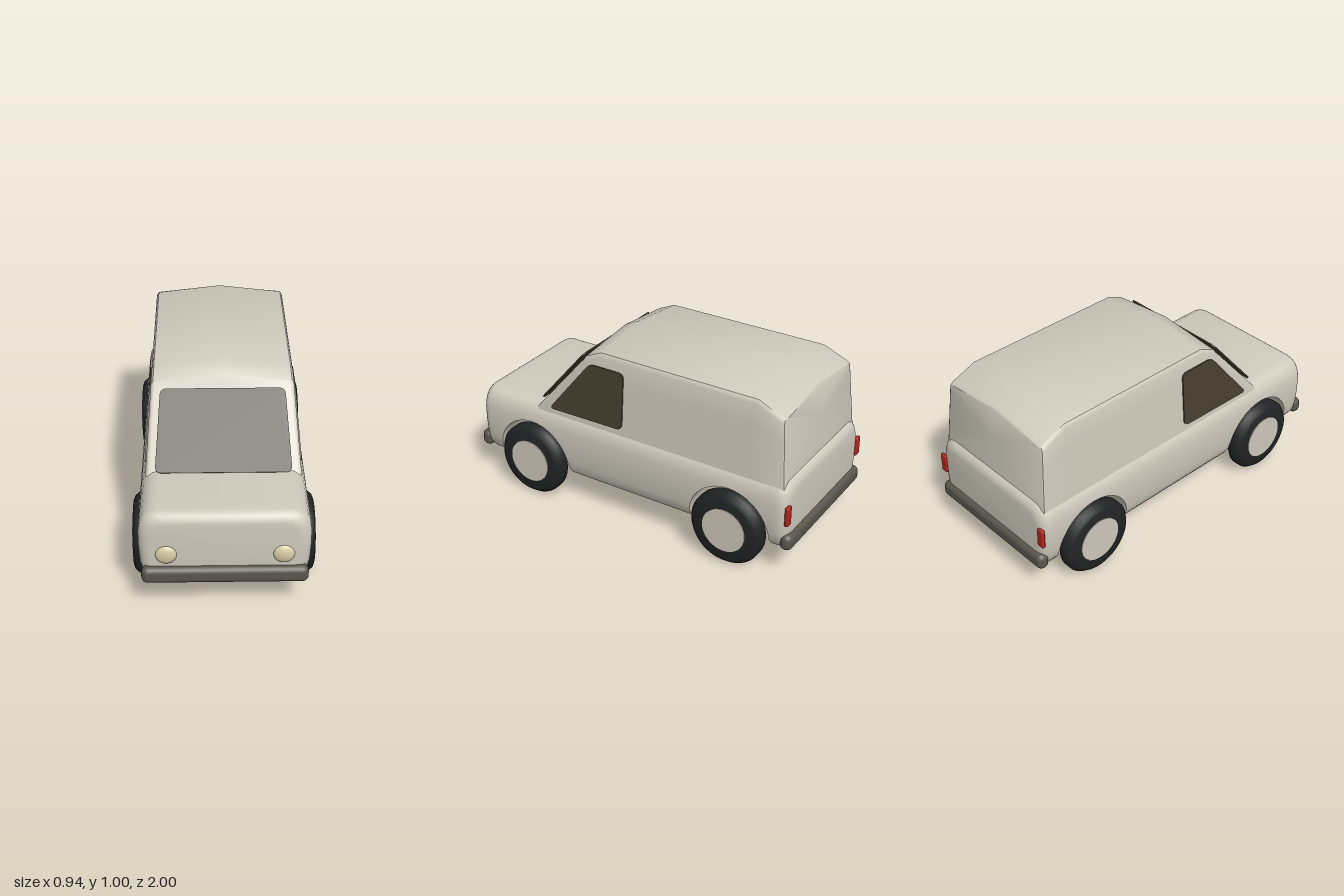
import * as THREE from 'three';
import { toCreasedNormals } from 'three/addons/utils/BufferGeometryUtils.js';
import { RoundedBoxGeometry } from 'three/addons/geometries/RoundedBoxGeometry.js';

const mat = (name, color) => {
  const m = new THREE.MeshStandardMaterial({ color });
  m.name = name;
  return m;
};

// Crease at enlarged scale so that close vertices stay distinct
function crease(geo, angle) {
  geo.scale(100, 100, 100);
  const out = toCreasedNormals(geo.index ? geo.toNonIndexed() : geo, angle);
  return out.scale(0.01, 0.01, 0.01);
}

// Skin half sections [x, y, z] (bottom centre to top centre), mirrored in x, ordered rear to front
function loft(halves, angle) {
  const rings = halves.map(h => [...h, ...h.slice(1, -1).reverse().map(([x, y, z]) => [-x, y, z])]);
  const pos = [], n = rings[0].length;
  const tri = (...p) => p.forEach(v => pos.push(...v));
  for (let i = 0; i < rings.length - 1; i++) {
    for (let j = 0; j < n; j++) {
      const k = (j + 1) % n, a = rings[i], b = rings[i + 1];
      tri(a[j], a[k], b[j]);
      tri(a[k], b[k], b[j]);
    }
  }
  const cap = (ring, front) => {
    const c = [0, 1, 2].map(d => ring.reduce((s, p) => s + p[d], 0) / n);
    ring.forEach((p, j) => {
      const q = ring[(j + 1) % n];
      front ? tri(c, p, q) : tri(c, q, p);
    });
  };
  cap(rings[0], false);
  cap(rings[rings.length - 1], true);
  const geo = new THREE.BufferGeometry();
  geo.setAttribute('position', new THREE.Float32BufferAttribute(pos, 3));
  return crease(geo, angle);
}

// Polygon with rounded corners
function roundedShape(pts, r) {
  const s = new THREE.Shape(), n = pts.length;
  const v = pts.map(p => new THREE.Vector2(...p));
  v.forEach((p, i) => {
    const toward = q => q.clone().sub(p).setLength(r).add(p);
    const a = toward(v[(i + n - 1) % n]), b = toward(v[(i + 1) % n]);
    i ? s.lineTo(a.x, a.y) : s.moveTo(a.x, a.y);
    s.quadraticCurveTo(p.x, p.y, b.x, b.y);
  });
  s.closePath();
  return s;
}

// Lower body: fixed side profile, bottom lifted over the wheel arches
const SIDE = [[0.35, 0.16], [0.385, 0.175], [0.41, 0.21], [0.422, 0.26], [0.428, 0.35], [0.428, 0.44],
  [0.42, 0.485], [0.408, 0.515], [0.39, 0.538], [0.365, 0.553], [0.335, 0.56]];
const FRONT_AXLE = 0.605, REAR_AXLE = -0.645, AXLE_Y = 0.21, ARCH = 0.234;

function widthAt(y) {
  for (let i = 1; i < SIDE.length; i++) {
    const [x0, y0] = SIDE[i - 1], [x1, y1] = SIDE[i];
    if (y <= y1) return x0 + (x1 - x0) * (y - y0) / (y1 - y0);
  }
  return SIDE[SIDE.length - 1][0];
}

function lowerBody() {
  const section = (z, bottom = 0.16, inset = 0) => {
    const squash = 1 - inset / 0.2;
    const pts = SIDE.map(([, y]) => {
      const yy = Math.max(y, bottom);
      return [widthAt(yy) - inset, 0.36 + (yy - 0.36) * squash, z];
    });
    return [[0, pts[0][1], z], ...pts, [0, pts[pts.length - 1][1], z]];
  };
  const list = [], R = 0.06, steps = 6;
  for (let i = steps; i >= 0; i--) {
    const t = i / steps * Math.PI / 2;
    list.push(section(-0.915 - R * Math.sin(t), 0.16, R * (1 - Math.cos(t))));
  }
  for (const axle of [REAR_AXLE, FRONT_AXLE]) {
    list.push(section(axle - ARCH));
    for (let i = 0; i <= 20; i++) {
      const t = Math.PI * (1 - i / 20);
      list.push(section(axle + ARCH * Math.cos(t), AXLE_Y + ARCH * Math.sin(t)));
    }
    list.push(section(axle + ARCH));
  }
  for (let i = 0; i <= steps; i++) {
    const t = i / steps * Math.PI / 2;
    list.push(section(0.907 + R * Math.sin(t), 0.16, R * (1 - Math.cos(t))));
  }
  return loft(list, 0.75);
}

// Cabin: leaning sides, sloped windscreen, peaked roof dropping at both ends
const cabinWidth = y => 0.403 - 0.08 * (y - 0.5);

function cabin() {
  const section = (zOf, top, peak, inset = 0) => {
    const e = top - peak, side = [];
    for (let k = 0; k <= 4; k++) {
      const y = 0.5 + (e - 0.025 - 0.5) * k / 4;
      side.push([cabinWidth(y) - inset, y]);
    }
    const w = cabinWidth(e) - inset;
    side.push([w - 0.003, e - 0.012], [w - 0.01, e - 0.003], [w - 0.022, e]);
    return [[0, 0.5], ...side, [0, top]].map(([x, y]) => [x, y, zOf(y)]);
  };
  const rear = d => y => -0.945 + 0.085 * (y - 0.53) + d;
  const at = z => () => z;
  return loft([
    section(rear(0), 0.925, 0.033, 0.016),
    section(rear(0.005), 0.932, 0.036, 0.005),
    section(rear(0.018), 0.938, 0.037),
    section(at(-0.76), 1, 0.04),
    section(at(0.17), 1, 0.04),
    section(at(0.262), 0.955, 0.036),
    section(at(0.272), 0.94, 0.03),
    section(at(0.285), 0.9, 0.012),
    section(at(0.3), 0.874, 0),
    section(at(0.59), 0.53, 0),
  ], 0.6);
}

export function createModel() {
  const paint = mat('cream paint', 0xcfcabd);
  const glass = mat('tinted glass', 0x473f2f);
  const rubber = mat('tyre rubber', 0x222324);
  const trim = mat('bumper grey', 0x5a564d);
  const lamp = mat('headlight lens', 0xd8cda6);
  const red = mat('tail light red', 0xb3261c);

  const model = new THREE.Group();
  model.name = 'van';
  const add = (name, geo, material, x = 0, y = 0, z = 0) => {
    const m = new THREE.Mesh(geo, material);
    m.name = name;
    m.position.set(x, y, z);
    model.add(m);
    return m;
  };

  add('lowerBody', lowerBody(), paint);
  add('cabin', cabin(), paint);

  // Windscreen plate
  const screen = roundedShape([[-0.35, 0], [0.35, 0], [0.322, 0.437], [-0.322, 0.437]], 0.035);
  add('windscreen', new THREE.ExtrudeGeometry(screen, { depth: 0.008, bevelEnabled: false }),
    glass, 0, 0.56, 0.587).rotation.x = -0.696;

  // Bumpers
  for (const [name, z] of [['frontBumper', 0.966], ['rearBumper', -0.966]]) {
    add(name, new RoundedBoxGeometry(0.83, 0.092, 0.068, 4, 0.032), trim, 0, 0.215, z);
  }

  // Tyre profile, turned about the axle
  const tyreProfile = [[0, -0.05], [0.17, -0.05], [0.192, -0.042], [0.21, -0.02], [0.21, 0.02],
    [0.192, 0.042], [0.17, 0.05], [0, 0.05]].map(p => new THREE.Vector2(...p));

  for (const s of [1, -1]) {
    const label = s > 0 ? 'left' : 'right';

    // Side window, laid on the leaning cabin side
    const outline = [[0.495, 0.555], [0.02, 0.56], [0.02, 0.882], [0.235, 0.882]].map(([z, y]) => [-s * z, y]);
    const pane = new THREE.ExtrudeGeometry(roundedShape(outline, 0.035), { depth: 0.007, bevelEnabled: false });
    const p = pane.attributes.position;
    for (let i = 0; i < p.count; i++) {
      const u = p.getX(i), y = p.getY(i), d = p.getZ(i);
      p.setXYZ(i, s * (cabinWidth(y) + d), y, -s * u);
    }
    pane.computeVertexNormals();
    add(label + 'SideWindow', pane, glass);

    // Lamps
    const lens = new THREE.SphereGeometry(0.053, 28, 16).scale(1, 0.96, 0.4);
    add(label + 'Headlight', lens, lamp, s * 0.29, 0.33, 0.966);
    add(label + 'TailLight', new RoundedBoxGeometry(0.042, 0.11, 0.022, 2, 0.007), red, s * 0.402, 0.382, -0.974);

    // Wheels
    for (const [end, z] of [['Front', FRONT_AXLE], ['Rear', REAR_AXLE]]) {
      const tyre = crease(new THREE.LatheGeometry(tyreProfile, 48), 0.7).rotateZ(-s * Math.PI / 2);
      add(label + end + 'Tyre', tyre, rubber, s * 0.415, AXLE_Y, z);
      const hub = new THREE.CylinderGeometry(0.125, 0.125, 0.02, 40).rotateZ(-s * Math.PI / 2);
      add(label + end + 'Hub', hub, paint, s * 0.459, AXLE_Y, z);
    }
  }
  return model;
}
